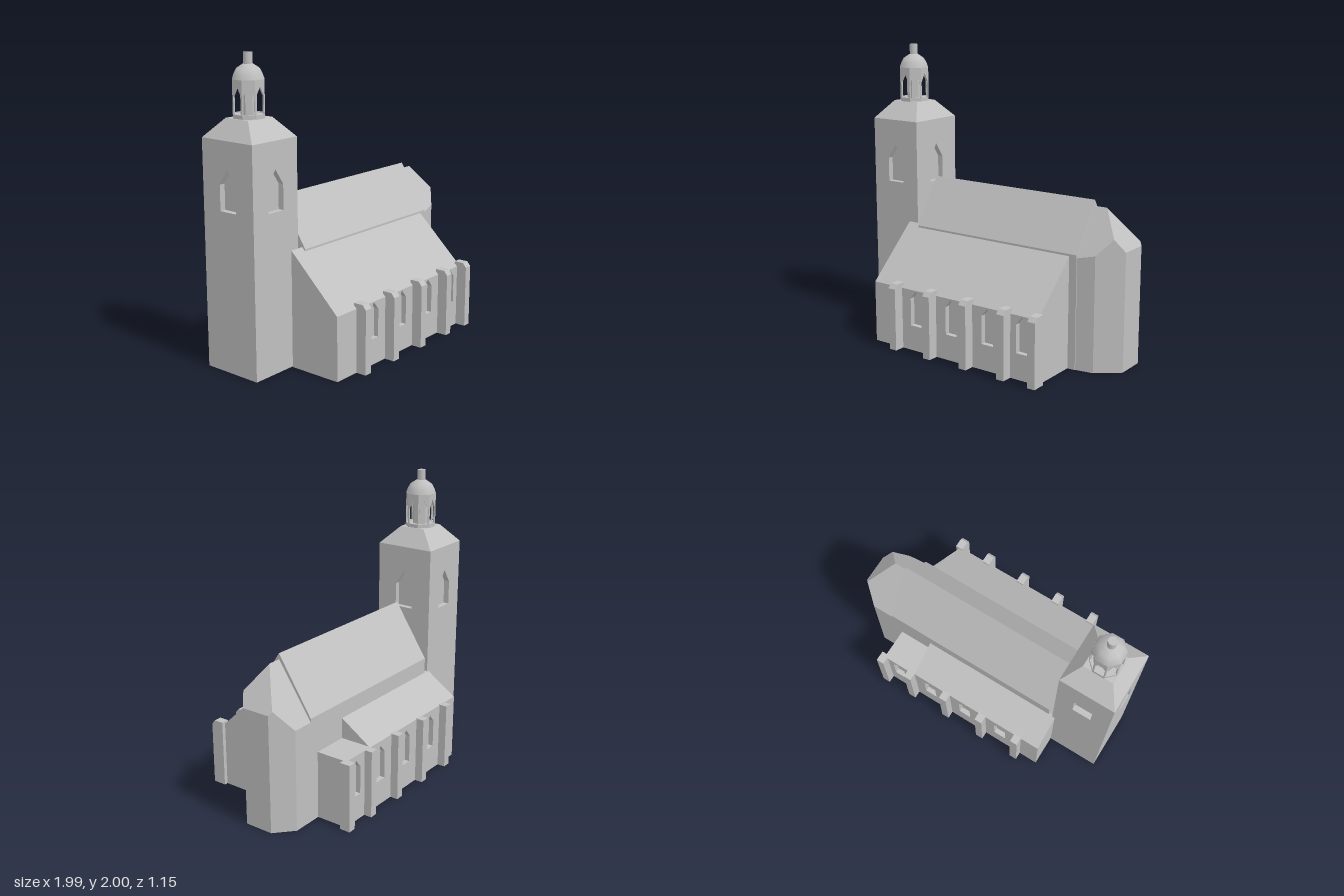
import * as THREE from 'three';

export function createModel() {
  const model = new THREE.Group();
  model.name = 'church';
  const stone = new THREE.MeshStandardMaterial({ color: 0xc0c0c0 });
  stone.name = 'stone grey';

  const add = (name, geometry, parent = model) => {
    const mesh = new THREE.Mesh(geometry, stone);
    mesh.name = name;
    parent.add(mesh);
    return mesh;
  };
  const box = (name, x0, x1, y0, y1, z0, z1) =>
    add(name, new THREE.BoxGeometry(x1 - x0, y1 - y0, z1 - z0))
      .position.set((x0 + x1) / 2, (y0 + y1) / 2, (z0 + z1) / 2);

  // Solid with a [z, y] cross-section running along x
  const alongX = (name, x0, x1, profile) => {
    const shape = new THREE.Shape(profile.map(([z, y]) => new THREE.Vector2(-z, y)));
    const g = new THREE.ExtrudeGeometry(shape, { depth: x1 - x0, bevelEnabled: false });
    add(name, g.rotateY(Math.PI / 2).translate(x0, 0, 0));
  };

  // Wall panel with pointed window openings; outer face at local z = 0
  const panel = (x0, x1, y0, y1, depth, centres, win) => {
    const v = (x, y) => new THREE.Vector2(x, y);
    const shape = new THREE.Shape([v(x0, y0), v(x1, y0), v(x1, y1), v(x0, y1)]);
    for (const c of centres) {
      shape.holes.push(new THREE.Path([
        v(c - win.half, win.sill), v(c - win.half, win.spring), v(c, win.peak),
        v(c + win.half, win.spring), v(c + win.half, win.sill),
      ]));
    }
    return new THREE.ExtrudeGeometry(shape, { depth, bevelEnabled: false }).translate(0, 0, -depth);
  };

  // Nave with its steep roof
  alongX('nave', -0.58, 0.72, [[0.155, 0], [-0.3, 0], [-0.3, 0.71], [-0.055, 1.085], [0.155, 0.765]]);

  // Side aisles: lean-to bodies whose roofs lip over the window walls
  const windowXs = [-0.316, -0.017, 0.278, 0.547];
  const aisleWindow = { half: 0.045, sill: 0.175, spring: 0.365, peak: 0.42 };
  alongX('frontAisle', -0.68, 0.665,
    [[0.13, 0], [0.465, 0], [0.465, 0.425], [0.5, 0.425], [0.13, 0.775]]);
  add('frontAisleWall', panel(-0.68, 0.665, 0, 0.425, 0.035, windowXs, aisleWindow)).position.z = 0.5;

  alongX('backAisle', -0.63, 0.4,
    [[-0.29, 0], [-0.29, 0.607], [-0.52, 0.455], [-0.485, 0.455], [-0.485, 0]]);
  box('backAisleFlatPart', 0.4, 0.655, 0, 0.46, -0.485, -0.29);
  box('backAisleFlatEave', 0.4, 0.655, 0.455, 0.46, -0.525, -0.485);
  const backWall = add('backAisleWall',
    panel(-0.655, 0.63, 0, 0.455, 0.035, windowXs.map((x) => -x), aisleWindow));
  backWall.rotation.y = Math.PI;
  backWall.position.z = -0.52;

  // Buttresses, chamfered on the front side only
  for (const x of [-0.464, -0.17, 0.13, 0.429, 0.663]) {
    alongX('frontButtress', x - 0.028, x + 0.028,
      [[0.48, 0], [0.573, 0], [0.573, 0.43], [0.548, 0.46], [0.48, 0.46]]);
    box('backButtress', x - 0.028, x + 0.028, 0, 0.46, -0.575, -0.5);
  }

  // Apse: faceted walls cut off by the side roof planes and the hipped end
  const roofY = (x, z) => 1.045 - Math.max(1.47 * Math.abs(z + 0.055), 1.39 * (x - 0.81));
  const outline = [[0.7, 0.152], [0.84, 0.13], [0.93, 0.058], [0.99, 0.01],
    [0.99, -0.19], [0.971, -0.207], [0.87, -0.3], [0.7, -0.3]];
  const top = outline.map(([x, z]) => [x, roofY(x, z), z]);
  const base = outline.map(([x, z]) => [x, 0, z]);
  const ridgeIn = [0.7, 1.045, -0.055], ridgeOut = [0.81, 1.045, -0.055];
  const faces = [
    [top[0], top[1], top[2], ridgeOut, ridgeIn],
    [top[2], top[3], top[4], top[5], ridgeOut],
    [top[5], top[6], top[7], ridgeIn, ridgeOut],
    [...base].reverse(),
  ];
  for (let i = 0; i < 7; i++) faces.push([base[i], base[i + 1], top[i + 1], top[i]]);
  const positions = [];
  for (const f of faces) {
    for (let i = 1; i < f.length - 1; i++) positions.push(...f[0], ...f[i], ...f[i + 1]);
  }
  const apse = new THREE.BufferGeometry();
  apse.setAttribute('position', new THREE.Float32BufferAttribute(positions, 3));
  apse.computeVertexNormals();
  add('apse', apse);

  // Tower: core wrapped in four walls with belfry windows
  const tower = new THREE.Group();
  tower.name = 'tower';
  tower.position.set(-0.805, 0, -0.09);
  model.add(tower);
  const hx = 0.195, hz = 0.2125, depth = 0.04, eaveY = 1.485;
  add('towerCore', new THREE.BoxGeometry(2 * (hx - depth), eaveY, 2 * (hz - depth)), tower)
    .position.y = eaveY / 2;
  const belfry = { half: 0.067, sill: 1.045, spring: 1.21, peak: 1.31 };
  for (let i = 0; i < 4; i++) {
    const side = i % 2 === 1;
    const half = side ? hz - depth : hx;
    const wall = add('towerWall', panel(-half, half, 0, eaveY, depth, [0], belfry), tower);
    const a = (i * Math.PI) / 2, d = side ? hx : hz;
    wall.rotation.y = a;
    wall.position.set(Math.sin(a) * d, 0, Math.cos(a) * d);
  }

  // Tower roof: a box tapered towards the lantern
  const hip = new THREE.BoxGeometry(2 * hx, 0.12, 2 * hz);
  const p = hip.attributes.position;
  for (let i = 0; i < p.count; i++) {
    if (p.getY(i) > 0) {
      p.setX(i, Math.sign(p.getX(i)) * 0.105);
      p.setZ(i, Math.sign(p.getZ(i)) * 0.095);
    }
  }
  hip.computeVertexNormals();
  add('towerRoof', hip, tower).position.y = eaveY + 0.06;

  // Octagonal lantern with a pointed opening in each side
  const apothem = 0.097, sideHalf = apothem * Math.tan(Math.PI / 8);
  const round = 1 / Math.cos(Math.PI / 8);
  const octagon = (name, r, y0, y1) => {
    const g = new THREE.CylinderGeometry(r * round, r * round, y1 - y0, 8).rotateY(Math.PI / 8);
    add(name, g.toNonIndexed(), tower).position.y = (y0 + y1) / 2;
    tower.children.at(-1).geometry.computeVertexNormals();
  };
  const opening = { half: 0.033, sill: 1.63, spring: 1.74, peak: 1.8 };
  for (let i = 0; i < 8; i++) {
    const a = (i * Math.PI) / 4;
    const wall = add('lanternWall',
      panel(-sideHalf, sideHalf, 1.6, 1.84, 0.012, [0], opening), tower);
    wall.rotation.y = a;
    wall.position.set(Math.sin(a) * apothem, 0, Math.cos(a) * apothem);
  }
  octagon('lanternCore', 0.05, 1.6, 1.83);
  octagon('lanternFloor', 0.095, 1.6, 1.625);
  octagon('lanternCeiling', 0.095, 1.81, 1.84);

  // Dome and finial
  const dome = [[0.097, 1.838], [0.088, 1.868], [0.07, 1.902], [0.03, 1.93], [0, 1.935]];
  add('dome', new THREE.LatheGeometry(
    dome.map(([r, y]) => new THREE.Vector2(r * round, y)), 8, Math.PI / 8), tower);
  add('finial', new THREE.CylinderGeometry(0.028, 0.028, 0.075, 16), tower).position.y = 1.9625;

  return model;
}
